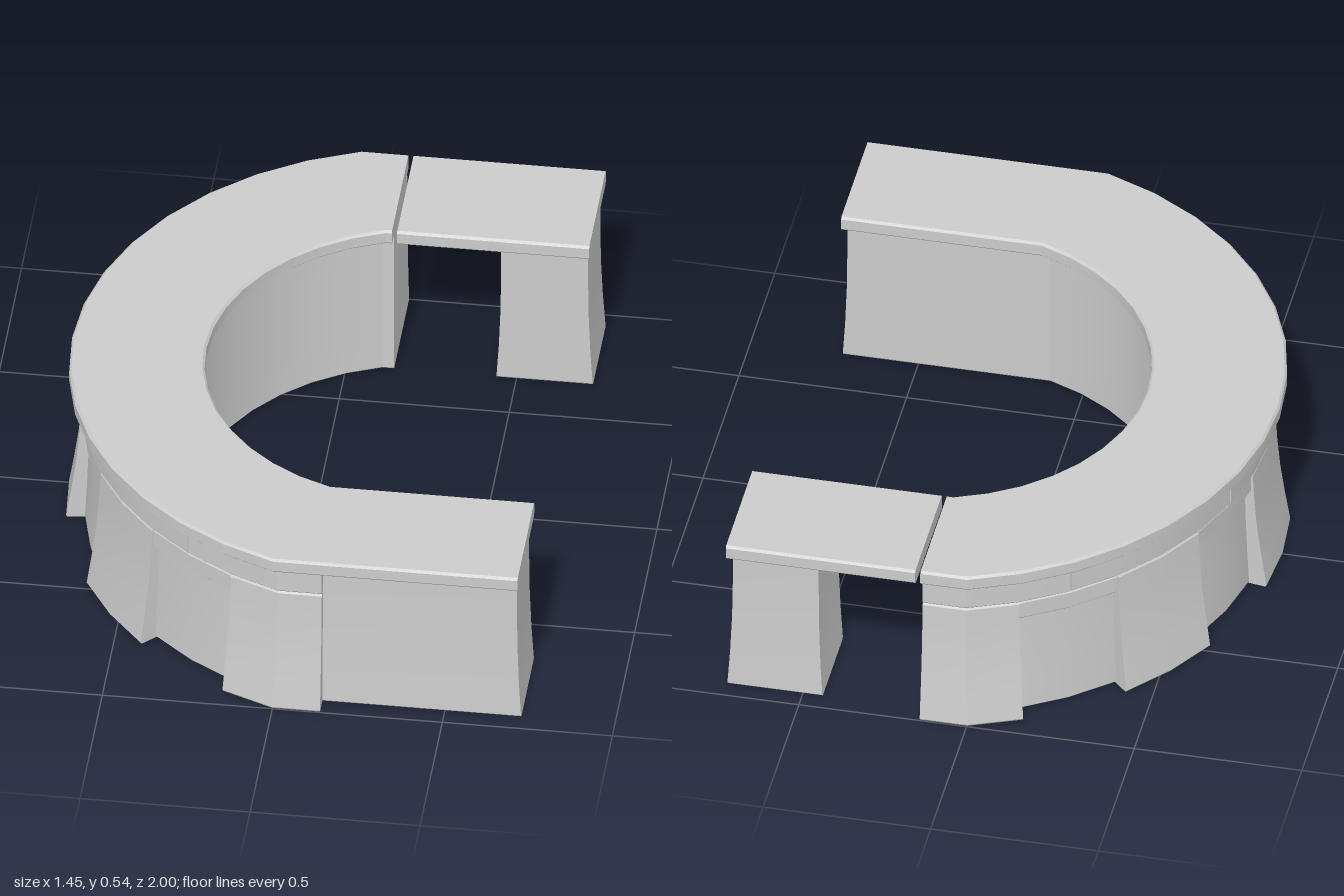
import * as THREE from 'three';
import { toCreasedNormals } from 'three/addons/utils/BufferGeometryUtils.js';

const CX = 0.322;                 // centre of the curved run (z = 0)
const END = 72, STEP = 9;         // half angle of the arc and its facet size, degrees
const SIN_END = Math.sin(THREE.MathUtils.degToRad(END));

// A station maps a radius and height to a point on the plan.
const arc = (deg) => (r) => {
  const a = THREE.MathUtils.degToRad(deg);
  return [CX - r * Math.cos(a), r * Math.sin(a)];
};
const straight = (x, side, flare = 0) => (r, y) =>
  [x + flare * Math.pow(Math.max(0, 1 - y / 0.38), 2), side * r * SIN_END];

function arcStations(from, to) {
  const list = [];
  for (let d = from; d <= to; d += STEP) list.push(arc(d));
  return list;
}

// Sweeps rows of [y, inner radius, outer radius] through the stations and caps both ends.
function sweep(stations, rows) {
  const pos = [];
  const quad = (a, b, c, d) => pos.push(...a, ...b, ...c, ...a, ...c, ...d);
  const rings = stations.map((at) => {
    const point = (r, y) => { const [x, z] = at(r, y); return [x, y, z]; };
    return {
      outer: rows.map(([y, , ro]) => point(ro, y)),
      inner: rows.map(([y, ri]) => point(ri, y)),
    };
  });
  const loops = rings.map((g) => [...g.outer, ...[...g.inner].reverse()]);
  for (let i = 0; i < loops.length - 1; i++) {
    const a = loops[i], b = loops[i + 1];
    a.forEach((p, j) => {
      const k = (j + 1) % a.length;
      quad(p, b[j], b[k], a[k]);
    });
  }
  const first = rings[0], last = rings[rings.length - 1];
  for (let j = 0; j < rows.length - 1; j++) {
    quad(first.outer[j], first.outer[j + 1], first.inner[j + 1], first.inner[j]);
    quad(last.outer[j], last.inner[j], last.inner[j + 1], last.outer[j + 1]);
  }
  const geo = new THREE.BufferGeometry();
  geo.setAttribute('position', new THREE.Float32BufferAttribute(pos, 3));
  return toCreasedNormals(geo, 0.3);
}

// Rectangular section with small bevels at top and bottom.
const block = (y0, y1, ri, ro, b = 0.006) => [
  [y0, ri + b, ro - b], [y0 + b, ri, ro], [y1 - b, ri, ro], [y1, ri + b, ro - b],
];

export function createModel() {
  const group = new THREE.Group();
  const material = new THREE.MeshStandardMaterial({ color: 0xcccccc });
  const add = (name, stations, rows) => {
    const mesh = new THREE.Mesh(sweep(stations, rows), material);
    mesh.name = name;
    group.add(mesh);
  };

  // Sections
  const wall = [
    [0, 0.70, 0.99], [0.006, 0.695, 0.996], [0.12, 0.695, 0.99],
    [0.25, 0.695, 0.985], [0.38, 0.695, 0.982], [0.495, 0.695, 0.982],
  ];
  const pillar = [
    [0, 0.95, 1.047], [0.006, 0.95, 1.051], [0.1, 0.95, 1.036], [0.2, 0.95, 1.022],
    [0.3, 0.95, 1.013], [0.394, 0.95, 1.008], [0.4, 0.95, 1.003],
  ];
  const slab = block(0.492, 0.54, 0.647, 1.042, 0.007);
  const band = block(0.402, 0.488, 0.95, 1.012);
  const lintel = block(0.335, 0.398, 0.95, 1.002);

  const JOINT = 0.14;   // where the curved run meets the back wing
  const curve = arcStations(-END, END);

  // Counter top: curved run with front wing, and the separate back flap
  add('counterTop', [straight(JOINT, -1), ...curve, straight(0.72, 1)], slab);
  add('backFlapTop', [straight(0.72, -1), straight(0.155, -1)], slab);

  // Counter wall, solid to the end of the front wing
  add('counterWall', [straight(JOINT, -1), ...curve, straight(0.711, 1, 0.014)], wall);

  // Leg under the far end of the back flap
  add('backFlapLeg', [straight(0.711, -1, 0.014), straight(0.455, -1, -0.014)], wall);

  // Flared pillars around the outside
  add('backEndPillar', [straight(JOINT, -1), ...arcStations(-END, -63)], pillar);
  for (const a of [-45, -9, 27]) add('pillar', arcStations(a, a + 18), pillar);
  add('frontEndPillar', [...arcStations(63, END), straight(JOINT, 1)], pillar);

  // Lintels between the pillars
  for (const a of [-63, -27, 9, 45]) add('lintel', arcStations(a, a + 18), lintel);

  // Band below the top, in five lengths with fine seams
  const cut = 0.15;
  const trimmed = (from, to) =>
    [arc(from + cut), ...arcStations(from + STEP, to - STEP), arc(to - cut)];
  add('backBand', [straight(JOINT, -1), arc(-END), arc(-63), arc(-54 - cut)], band);
  for (const a of [-54, -18, 18]) add('band', trimmed(a, a + 36), band);
  add('frontBand', [arc(54 + cut), arc(63), arc(END), straight(JOINT, 1)], band);

  return group;
}
